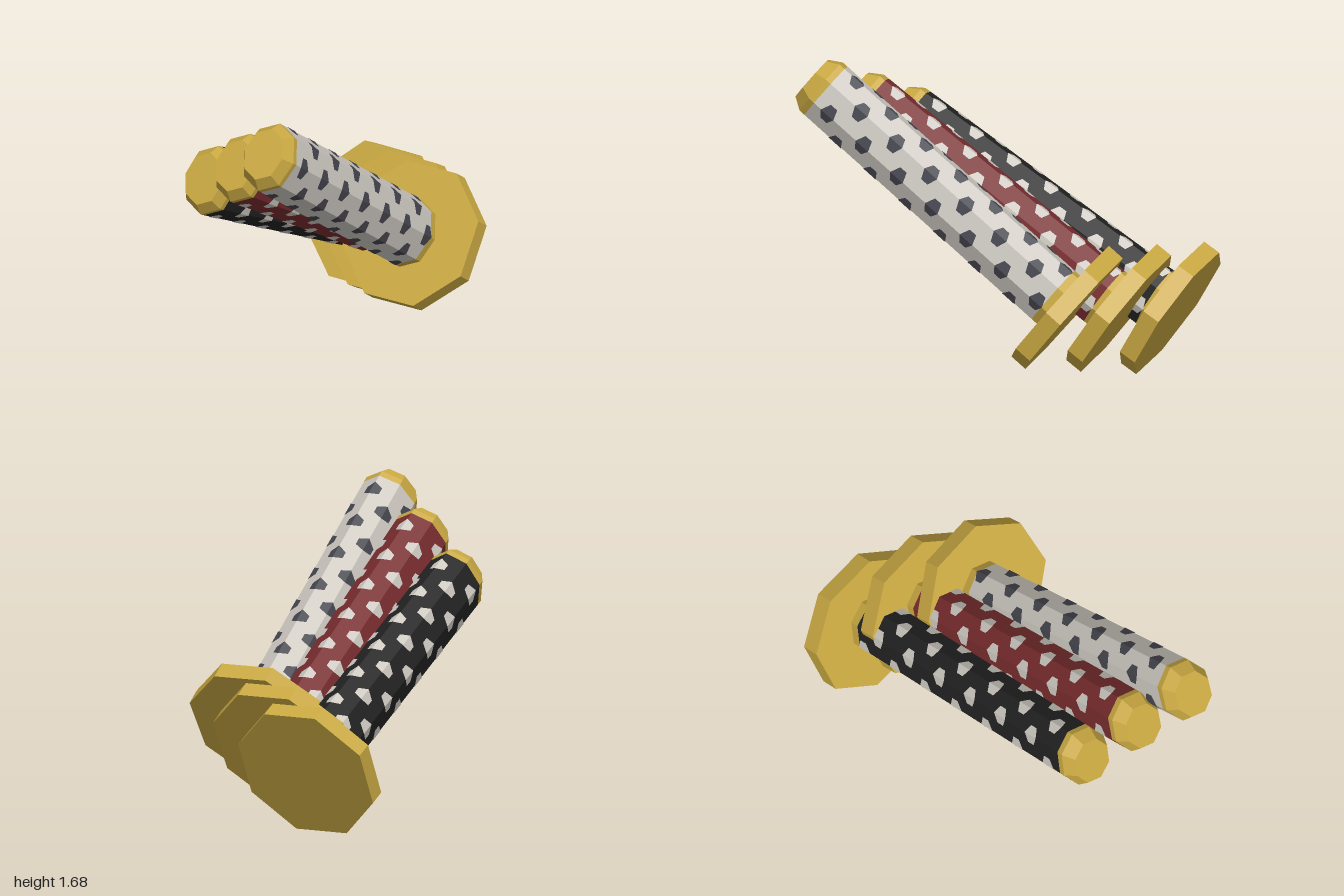
import * as THREE from 'three';

const mat = (name, color, extra = {}) => {
  const m = new THREE.MeshStandardMaterial({ color, flatShading: true, ...extra });
  m.name = name;
  return m;
};

const RU = 0.155, RV = 0.19;          // half width and half depth of the oval grip
const GRIP = 1.72, CAP = 0.067, COLLAR = 0.05, GUARD = 0.1;

// Eight-sided slab or rod from y0 to y1 in the handle's own frame
function octagon(name, material, y0, y1, r0, r1, su = 1, sv = 1, turn = 0) {
  const g = new THREE.CylinderGeometry(r1, r0, y1 - y0, 8, 1, false, turn);
  g.scale(su, 1, sv);
  g.translate(0, (y0 + y1) / 2, 0);
  const mesh = new THREE.Mesh(g, material);
  mesh.name = name;
  return mesh;
}

// Staggered spots folded over the eight ridges of the grip
function spots(material) {
  const pos = [];
  const ridge = i => {
    const a = i * Math.PI / 4;
    return new THREE.Vector3(Math.sin(a) * (RU + 0.003), 0, Math.cos(a) * (RV + 0.003));
  };
  const at = (p, y) => [p.x, y, p.z];
  for (let i = 0; i < 8; i++) {
    const p = ridge(i);
    const first = i % 2 ? 0.255 : 0.13;
    for (let d = first; d < GRIP - 0.08; d += 0.25) {
      const y = GRIP - d;
      for (const s of [1, -1]) {
        const q = p.clone().lerp(ridge(i + s), 0.4);
        const A = at(p, y - 0.045), B = at(q, y - 0.025);
        const C = at(q, y + 0.02), D = at(p, y + 0.045);
        if (s > 0) pos.push(...A, ...B, ...C, ...A, ...C, ...D);
        else pos.push(...A, ...C, ...B, ...A, ...D, ...C);
      }
    }
  }
  const g = new THREE.BufferGeometry();
  g.setAttribute('position', new THREE.Float32BufferAttribute(pos, 3));
  g.computeVertexNormals();
  const mesh = new THREE.Mesh(g, material);
  mesh.name = 'gripSpots';
  return mesh;
}

export function createModel() {
  const gold = mat('gold', 0xc9a842);
  const pale = mat('pale', 0xcdc9c1);
  const red = mat('red', 0x782c2e);
  const black = mat('black', 0x222222);
  const slate = mat('slate', 0x45454e);

  // Each handle: guard front centre, axis direction, grip and spot colours
  const handles = [
    { name: 'blackHandle', base: [-0.385, 0.385, -0.712], axis: [0.272, 0.53, 1], grip: black, spot: pale },
    { name: 'redHandle', base: [-0.09, 0.467, -0.608], axis: [0.288, 0.63, 1], grip: red, spot: pale },
    { name: 'paleHandle', base: [0.196, 0.544, -0.494], axis: [0.304, 0.735, 1], grip: pale, spot: slate },
  ];

  const model = new THREE.Group();
  model.name = 'threeHandles';
  for (const h of handles) {
    const group = new THREE.Group();
    group.name = h.name;
    const n = new THREE.Vector3(...h.axis).normalize();
    const u = new THREE.Vector3(0, 1, 0).cross(n).normalize();
    const w = u.clone().cross(n);
    group.quaternion.setFromRotationMatrix(new THREE.Matrix4().makeBasis(u, n, w));
    group.position.set(...h.base);

    group.add(
      octagon('guard', gold, -GUARD, 0, 0.406, 0.406, 1, 1, Math.PI / 8),
      octagon('lowerCollar', gold, 0, COLLAR, 1, 1, RU, RV),
      octagon('grip', h.grip, COLLAR, GRIP - 0.035, 1, 1, RU, RV),
      octagon('upperCollar', gold, GRIP - 0.035, GRIP, 1, 1, RU, RV),
      octagon('pommel', gold, GRIP, GRIP + CAP, 1, 0.76, RU, RV),
      spots(h.spot),
    );
    model.add(group);
  }
  return model;
}
